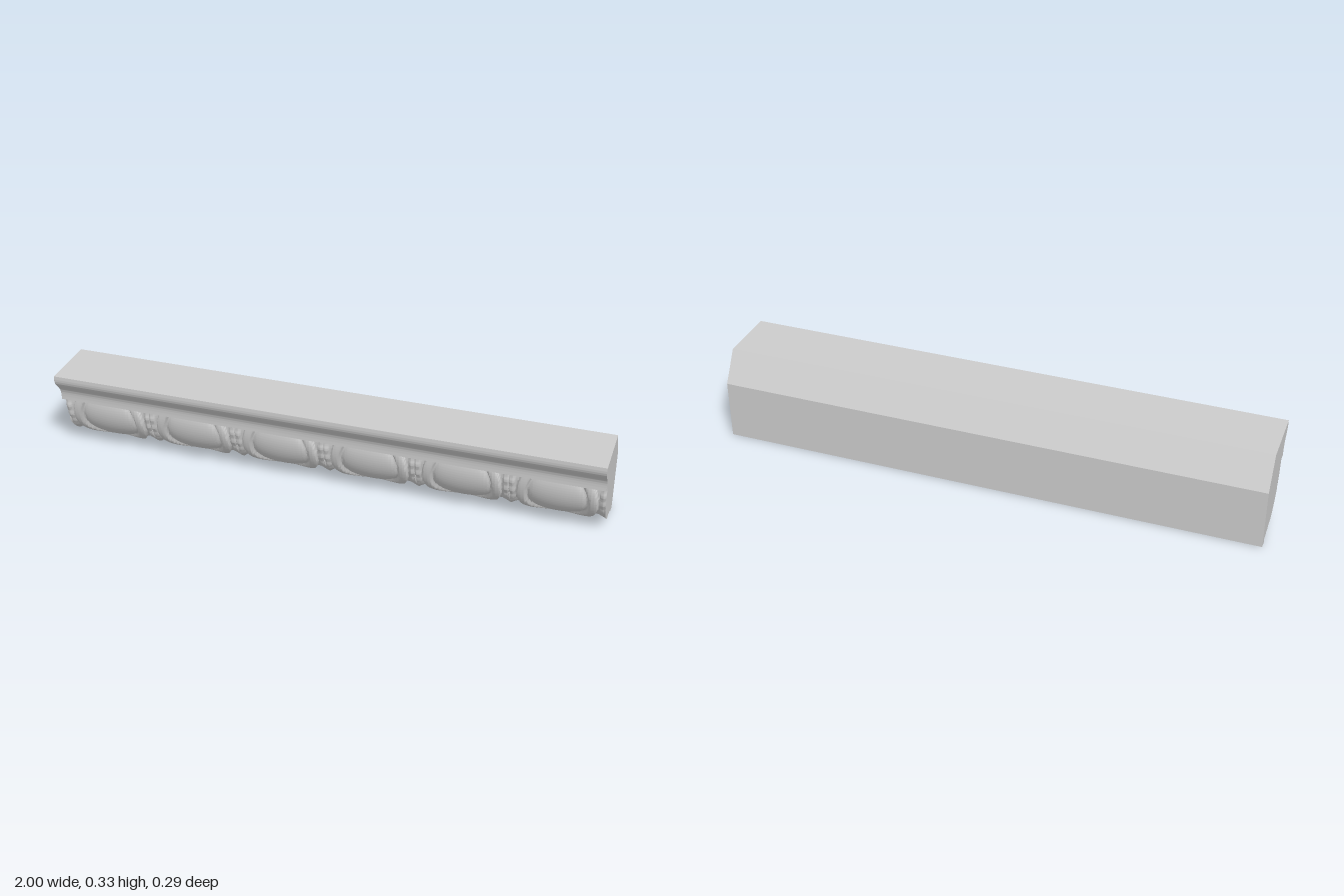
import * as THREE from 'three';
import { toCreasedNormals } from 'three/addons/utils/BufferGeometryUtils.js';

const PITCH = 1 / 3;               // spacing of the eggs
const CZ = -0.115, CY = 0.2;       // centre of the quarter-round
const RZ = 0.185, RY = 0.183;      // its radii
const TOP = 0.217;                 // underside of the cornice
const LIP = TOP - CY;              // short upright piece above the quarter-round
const LENGTH = LIP + 0.184 * Math.PI / 2;

const clamp01 = (v) => Math.min(1, Math.max(0, v));
const smooth = (v) => { const t = clamp01(v); return t * t * (3 - 2 * t); };
const dome = (r) => Math.sqrt(Math.max(0, 1 - r * r));

// Relief height of the carving at x along the moulding, s down its face
function relief(x, s) {
  const cell = Math.floor((x + 1) / PITCH);
  const ex = x + 1 - (cell + 0.5) * PITCH;            // from the egg's middle
  const dx = PITCH / 2 - Math.abs(ex);                // from the dart's middle
  const ds = s - 0.09;

  // egg
  const egg = 0.018 * dome(Math.hypot(ex / 0.1, ds / 0.124));

  // rounded rim around the egg, 0 at its inner edge and 1 at its outer edge
  const inner = Math.hypot(ex / 0.106, ds / 0.132);
  const outer = Math.hypot(ex / 0.141, ds / 0.177);
  let rim = 0;
  if (inner > 1 && outer < 1) {
    const t = (inner - 1) / (inner - 1 + (1 - outer) * 1.33);
    rim = 0.009 * smooth(t / 0.18) * smooth((1 - t) / 0.1) + 0.006 * dome(2 * t - 1);
  }

  // dart: twin-ridged shaft with a pointed, ridged head
  let dart = 0;
  if (s < 0.14) {
    const beads = 0.8 + 0.2 * Math.cos(s * 150);
    dart = 0.01 * beads * dome((dx - 0.01) / 0.011);
  }
  const half = s < 0.165 ? 0.036 * smooth((s - 0.1) / 0.065) : 0.036 * clamp01((0.24 - s) / 0.075);
  if (half > 0) dart = Math.max(dart, 0.012 * clamp01(1 - dx / half) * smooth((0.24 - s) / 0.03));

  return Math.max(egg, rim, dart);
}

// Point of the carved face, raised by h
function facePoint(x, s, h) {
  if (s < LIP) return [x, TOP - s, CZ + RZ + h];
  const a = (s - LIP) / (LENGTH - LIP) * Math.PI / 2;
  return [x, CY - (RY + h) * Math.sin(a), CZ + (RZ + h) * Math.cos(a)];
}

function carvedFace() {
  const NX = 540, NS = 64, pos = [], index = [];
  for (let j = 0; j <= NS; j++) {
    const s = j / NS * LENGTH;
    for (let i = -1; i <= NX + 1; i++) {
      const end = i < 0 || i > NX;                    // extra columns close the ends
      const x = -1 + 2 * Math.min(NX, Math.max(0, i)) / NX;
      const xi = Math.min(0.9999, Math.max(-0.9999, x));
      pos.push(...facePoint(x, s, end ? -0.003 : relief(xi, s)));
    }
  }
  const row = NX + 3;
  for (let j = 0; j < NS; j++) {
    for (let i = 0; i < row - 1; i++) {
      const a = j * row + i, b = a + row;
      index.push(a, b, a + 1, b, b + 1, a + 1);
    }
  }
  const geo = new THREE.BufferGeometry();
  geo.setAttribute('position', new THREE.Float32BufferAttribute(pos, 3));
  geo.setIndex(index);
  return toCreasedNormals(geo, 0.9);
}

// Backing and cornice: one section run along the whole length
function mouldingBody() {
  const shape = new THREE.Shape();
  shape.moveTo(-0.143, 0);
  shape.lineTo(CZ, 0);
  shape.lineTo(CZ, CY - RY + 0.003);
  shape.absellipse(CZ, CY, RZ - 0.003, RY - 0.003, -Math.PI / 2, 0, false);
  shape.lineTo(CZ + RZ - 0.003, TOP);
  shape.lineTo(0.102, TOP);
  shape.lineTo(0.102, 0.228);
  shape.bezierCurveTo(0.103, 0.255, 0.108, 0.262, 0.122, 0.278);
  shape.bezierCurveTo(0.138, 0.296, 0.147, 0.305, 0.144, 0.333);
  shape.lineTo(-0.077, 0.333);
  shape.lineTo(-0.143, 0.222);
  shape.closePath();
  const geo = new THREE.ExtrudeGeometry(shape, { depth: 2, bevelEnabled: false, curveSegments: 20 });
  geo.rotateY(-Math.PI / 2);
  geo.translate(1, 0, 0);
  return toCreasedNormals(geo, 0.4);
}

export function createModel() {
  const group = new THREE.Group();
  group.name = 'eggAndDartMoulding';
  const add = (name, geometry, side) => {
    const mesh = new THREE.Mesh(geometry, new THREE.MeshStandardMaterial({ color: 0xcccccc, side }));
    mesh.name = name;
    group.add(mesh);
  };
  add('mouldingBody', mouldingBody(), THREE.FrontSide);
  add('eggAndDartCarving', carvedFace(), THREE.DoubleSide);
  return group;
}
